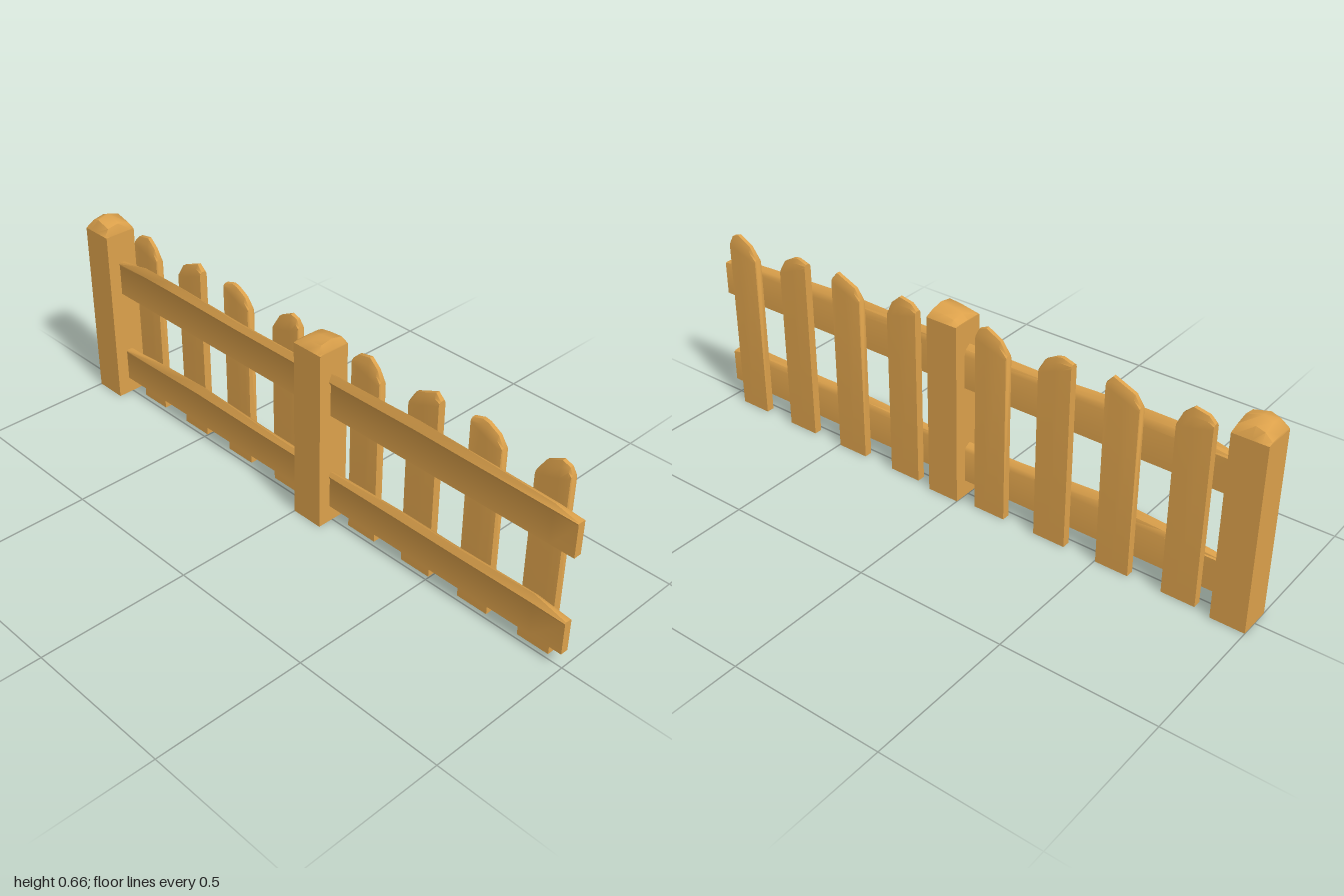
import * as THREE from 'three';
import { toCreasedNormals } from 'three/addons/utils/BufferGeometryUtils.js';

const wood = new THREE.MeshStandardMaterial({ color: 0xdca14b });

// Joins cross-sections along x; each section is [x, ring of [z, y]], both ends closed.
function loft(sections, crease = 0.7) {
  const n = sections[0][1].length, pos = [], idx = [];
  for (const [x, ring] of sections) for (const [z, y] of ring) pos.push(x, y, z);
  for (let i = 0; i < sections.length - 1; i++) {
    for (let j = 0; j < n; j++) {
      const a = i * n + j, b = i * n + (j + 1) % n, c = b + n, d = a + n;
      idx.push(a, d, c, a, c, b);
    }
  }
  const e = (sections.length - 1) * n;
  for (let j = 1; j < n - 1; j++) idx.push(0, j, j + 1, e, e + j + 1, e + j);
  const g = new THREE.BufferGeometry();
  g.setAttribute('position', new THREE.Float32BufferAttribute(pos, 3));
  g.setIndex(idx);
  return toCreasedNormals(g, crease);
}

function add(group, geometry, name, x = 0, z = 0) {
  const mesh = new THREE.Mesh(geometry, wood);
  mesh.name = name;
  mesh.position.set(x, 0, z);
  group.add(mesh);
}

// Square post with a worn, domed cap; outline is [x offset, cap height]
function addPost(group, name, x, outline) {
  const H = 0.61, w = 0.055;
  const body = new THREE.BoxGeometry(2 * w, H, 2 * w).translate(0, H / 2, 0);
  add(group, body, name, x);
  const cap = loft(outline.map(([dx, h]) => [dx, [
    [-w, H], [w, H], [0.04, H + 0.8 * h], [0, H + h], [-0.041, H + 0.72 * h],
  ]]), 0.9);
  add(group, cap, name + 'Cap', x);
}

// Rail with a flat board below and an uneven rounded top; outline is [x, top height]
function addRail(group, name, bottom, edge, outline) {
  add(group, loft(outline.map(([x, top]) => {
    const d = top - edge, s = Math.min(1, d / 0.03);
    return [x, [
      [-0.015, bottom], [0.012, bottom], [0.012, edge - 0.005],
      [0.012 + 0.008 * s, edge + 0.3 * d], [0.009, top],
      [-0.009, edge + 0.6 * d], [-0.015, edge],
    ]];
  })), name);
}

// Picket with a slanted, rounded tip; outline is [x offset, tip height]
function addPicket(group, x, outline) {
  const t = 0.0135, first = outline[0], last = outline[outline.length - 1];
  const base = (dx) => {
    const k = (dx - first[0]) / (last[0] - first[0]);
    return THREE.MathUtils.lerp(first[1], last[1], k) - 0.012;
  };
  add(group, loft(outline.map(([dx, top]) => {
    const b = base(dx), h = top - b;
    return [dx, [
      [-t, 0], [t, 0], [t, b], [0.85 * t, b + 0.6 * h], [0.45 * t, top],
      [-0.45 * t, top], [-0.85 * t, b + 0.6 * h], [-t, b],
    ]];
  })), 'picket', x, -0.0285);
}

export function createModel() {
  const fence = new THREE.Group();
  fence.name = 'fence';

  // Posts
  addPost(fence, 'endPost', -0.945,
    [[-0.055, 0.008], [-0.033, 0.038], [-0.005, 0.05], [0.046, 0.033], [0.055, 0.003]]);
  addPost(fence, 'middlePost', 0.055,
    [[-0.055, 0.004], [-0.035, 0.02], [0, 0.028], [0.043, 0.033], [0.055, 0.005]]);

  // Rails, two per bay
  addRail(fence, 'upperRail', 0.39, 0.5,
    [[-0.89, 0.508], [-0.75, 0.54], [-0.6, 0.541], [-0.3, 0.528], [0, 0.532]]);
  addRail(fence, 'lowerRail', 0.057, 0.165,
    [[-0.89, 0.17], [-0.7, 0.195], [-0.5, 0.209], [-0.2, 0.192], [0, 0.187]]);
  addRail(fence, 'upperRail', 0.39, 0.5,
    [[0.11, 0.533], [0.45, 0.543], [0.6, 0.537], [0.92, 0.522], [1, 0.502]]);
  addRail(fence, 'lowerRail', 0.057, 0.165,
    [[0.11, 0.185], [0.4, 0.197], [0.6, 0.194], [0.89, 0.2], [1, 0.17]]);

  // Pickets, four tip shapes repeated in each bay
  const tips = [
    [[-0.055, 0.6], [-0.035, 0.62], [0.01, 0.629], [0.04, 0.602], [0.055, 0.567]],
    [[-0.055, 0.567], [-0.035, 0.6], [0, 0.615], [0.037, 0.631], [0.055, 0.61]],
    [[-0.055, 0.618], [-0.02, 0.629], [0, 0.625], [0.037, 0.604], [0.055, 0.572]],
    [[-0.055, 0.567], [-0.03, 0.607], [0.02, 0.633], [0.045, 0.624], [0.055, 0.603]],
  ];
  for (const start of [-0.78, 0.22]) {
    tips.forEach((tip, i) => addPicket(fence, start + i * 0.222, tip));
  }
  return fence;
}
